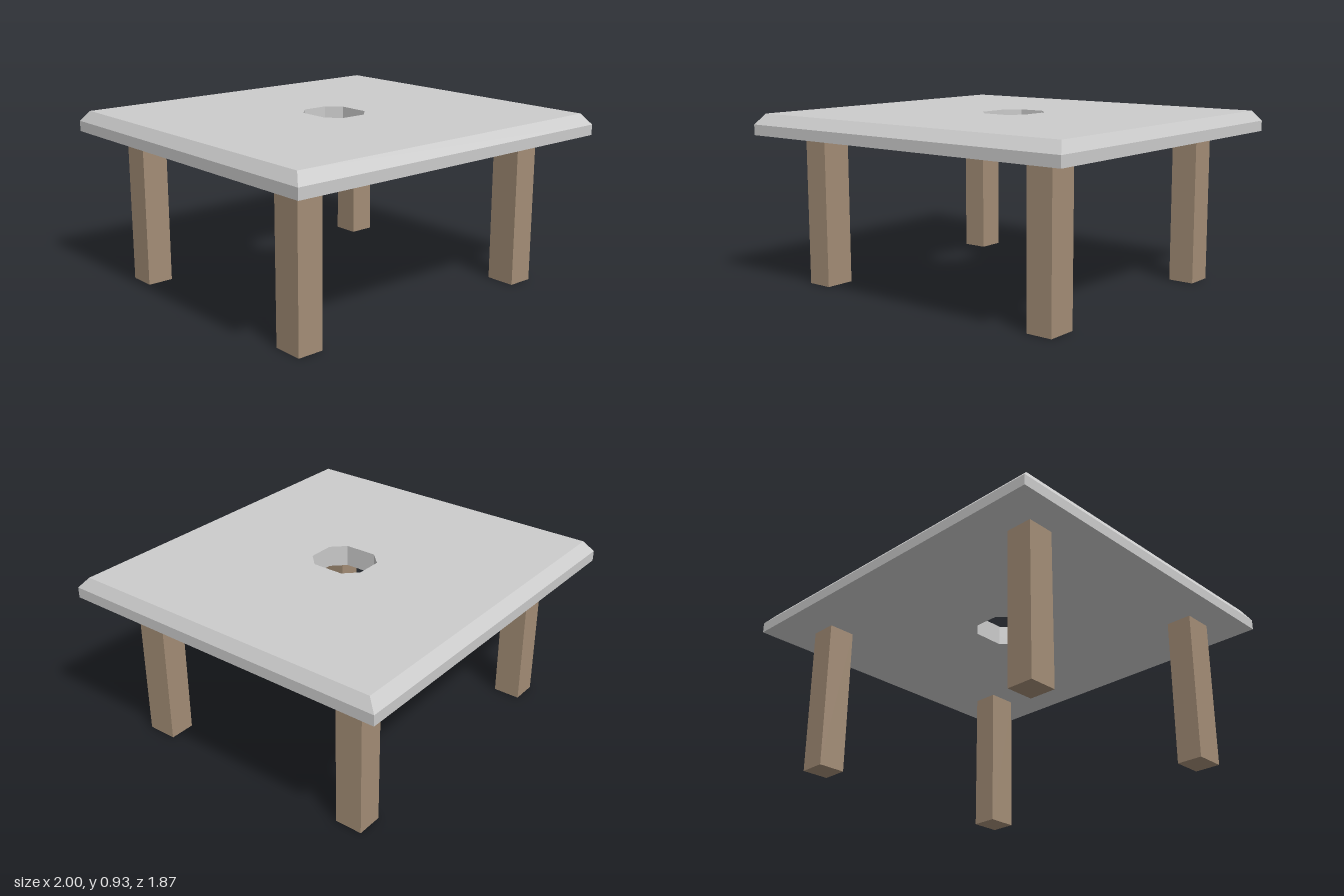
import * as THREE from 'three';

const grey = new THREE.MeshStandardMaterial({ color: 0xcccccc, flatShading: true });
const wood = new THREE.MeshStandardMaterial({ color: 0xa38d76, flatShading: true });

const LEG_H = 0.82, TOP_H = 0.113;
const HX = 1, HZ = 0.933;

// Square slab with an octagonal hole and a bevelled upper rim
function createTabletop() {
  const shape = new THREE.Shape([
    new THREE.Vector2(-HX, -HZ), new THREE.Vector2(HX, -HZ),
    new THREE.Vector2(HX, HZ), new THREE.Vector2(-HX, HZ),
  ]);
  // Shape y is -z once the slab is laid flat
  shape.holes.push(new THREE.Path([
    [-0.135, -0.085], [-0.135, 0.09], [-0.066, 0.16], [0.075, 0.16],
    [0.145, 0.09], [0.145, -0.085], [0.075, -0.155], [-0.066, -0.155],
  ].map(([x, y]) => new THREE.Vector2(x, y))));

  const geo = new THREE.ExtrudeGeometry(shape, { depth: TOP_H, steps: 2, bevelEnabled: false });
  geo.rotateX(-Math.PI / 2);

  // Pull the top outer corners inward to form the bevel
  const p = geo.attributes.position;
  for (let i = 0; i < p.count; i++) {
    if (p.getY(i) > TOP_H * 0.9 && Math.abs(p.getX(i)) > 0.9) {
      p.setX(i, Math.sign(p.getX(i)) * (HX - 0.037));
      p.setZ(i, Math.sign(p.getZ(i)) * (HZ - 0.051));
    }
  }
  geo.computeVertexNormals();

  const top = new THREE.Mesh(geo, grey);
  top.name = 'tabletop';
  top.position.y = LEG_H;
  return top;
}

function createLeg(name, [x0, x1], [z0, z1]) {
  const leg = new THREE.Mesh(new THREE.BoxGeometry(x1 - x0, LEG_H, z1 - z0), wood);
  leg.name = name;
  leg.position.set((x0 + x1) / 2, LEG_H / 2, (z0 + z1) / 2);
  return leg;
}

export function createModel() {
  const table = new THREE.Group();
  table.name = 'table';
  table.add(createTabletop());

  // Four square posts, from the x and z spans of each side
  const spansX = { Left: [0.657, 0.8], Right: [-0.835, -0.692] };
  const spansZ = { front: [0.557, 0.722], back: [-0.72, -0.57] };
  for (const [end, z] of Object.entries(spansZ)) {
    for (const [side, x] of Object.entries(spansX)) {
      table.add(createLeg(`${end}${side}Leg`, x, z));
    }
  }
  return table;
}
